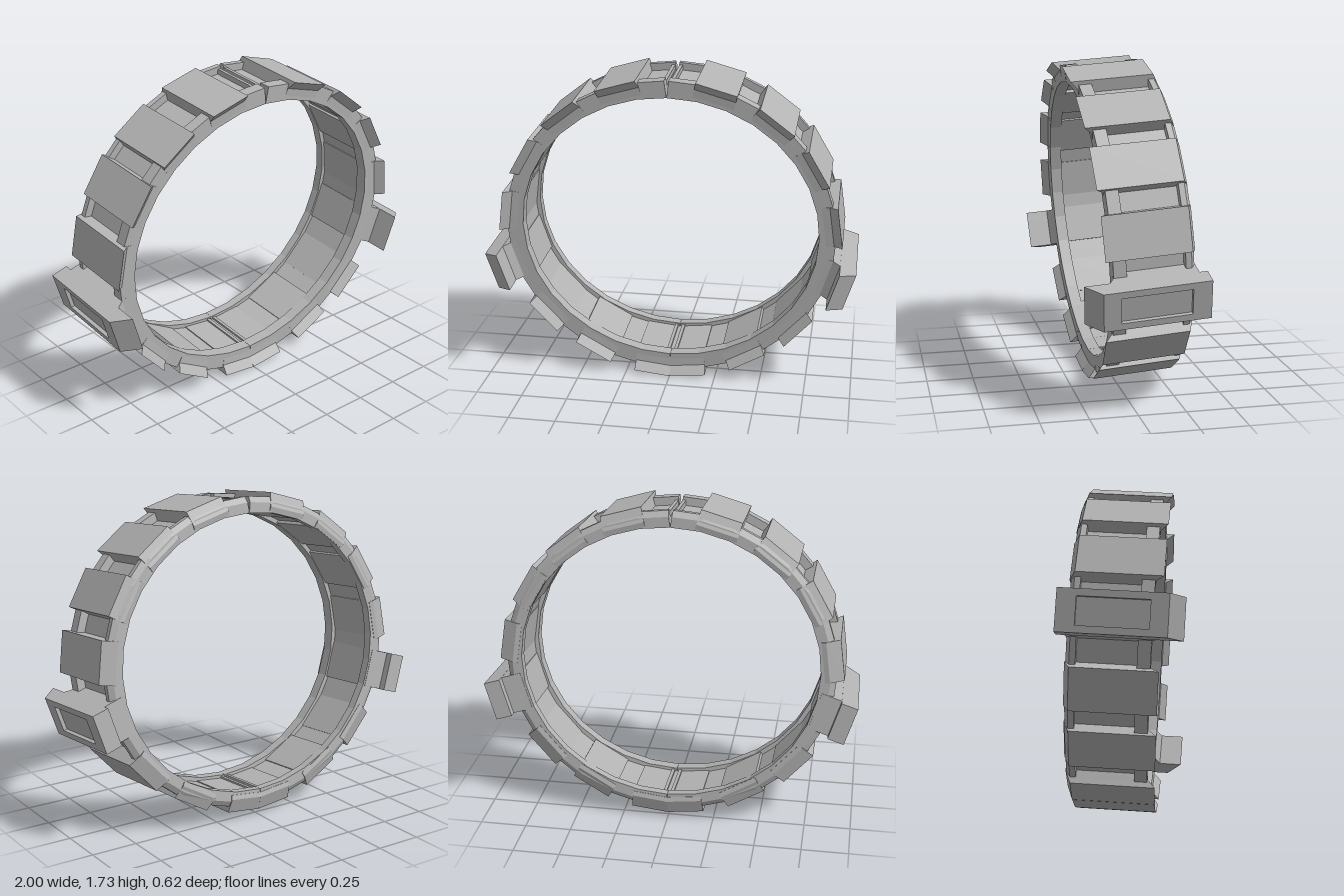
import * as THREE from 'three';

const A = 0.8, B = 0.745, CY = 0.015; // inner ellipse radii and vertical shift
const deg = Math.PI / 180;

export function createModel() {
  const grey = new THREE.MeshStandardMaterial({ color: 0xb4b4b4 });
  grey.name = 'grey';
  const model = new THREE.Group();
  model.name = 'segmentedRing';
  const ring = new THREE.Group();
  ring.name = 'tiltedRing';
  ring.position.y = 0.87;
  ring.rotation.x = 0.076;
  model.add(ring);

  const add = (geo, name) => {
    const m = new THREE.Mesh(geo, grey);
    m.name = name;
    ring.add(m);
    return m;
  };

  // Half ring: sweeps a counter-clockwise (offset, z) profile from top to bottom
  function halfRing(profile, side, name, n = 16) {
    const pos = [], idx = [], p = profile.length;
    for (let i = 0; i <= n; i++) {
      const t = (90 - 180 * i / n) * deg;
      for (const [o, z] of profile) {
        const x = Math.max((A + o) * Math.cos(t), 0.0005 + o * 0.13); // wedge gap at the joint
        pos.push(side * x, CY + (B + o) * Math.sin(t), z);
      }
    }
    const tri = (a, b, c) => (side > 0 ? idx.push(a, b, c) : idx.push(a, c, b));
    for (let i = 0; i < n; i++) for (let k = 0; k < p; k++) {
      const a = i * p + k, b = i * p + (k + 1) % p;
      tri(a, b, b + p);
      tri(a, b + p, a + p);
    }
    for (let k = 1; k < p - 1; k++) {
      tri(0, k + 1, k);
      tri(n * p, n * p + k, n * p + k + 1);
    }
    const g = new THREE.BufferGeometry();
    g.setAttribute('position', new THREE.Float32BufferAttribute(pos, 3));
    g.setIndex(idx);
    const flat = g.toNonIndexed();
    flat.computeVertexNormals();
    add(flat, name);
  }

  // Prism: (radial, z) profile extruded along the tangent
  function prism(profile, width, shift, x, y, angle, name) {
    const shape = new THREE.Shape(profile.map(([r, z]) => new THREE.Vector2(r, z)));
    const g = new THREE.ExtrudeGeometry(shape, { depth: width, bevelEnabled: false });
    g.translate(0, 0, shift - width / 2);
    const c = Math.cos(angle), s = Math.sin(angle);
    g.applyMatrix4(new THREE.Matrix4().makeBasis(
      new THREE.Vector3(c, s, 0), new THREE.Vector3(0, 0, 1), new THREE.Vector3(s, -c, 0)
    ).setPosition(x, y, 0));
    add(g, name);
  }

  const frontRail = [[0, 0.1], [0.09, 0.1], [0.09, 0.165], [0, 0.165]];
  const rearRail = [[0, -0.245], [0.055, -0.245], [0.085, -0.225], [0.085, -0.195], [0, -0.195]];
  const floor = [[0.025, -0.21], [0.045, -0.21], [0.045, 0.12], [0.025, 0.12]];

  // Plate with undercut front lip and sloped rear cap
  const plate = [[0, -0.222], [0, 0.207], [-0.045, 0.168], [-0.1, 0.164],
    [-0.1, -0.247], [-0.075, -0.252]];
  // Outer x, y, and facing angle of each plate
  const plates = [
    [0.262, 0.825, 74], [0.572, 0.665, 52.5], [0.79, 0.42, 30], [0.908, 0.1, 8],
    [0.706, -0.53, -42], [0.43, -0.73, -60], [0.1, -0.838, -83.5],
  ];

  // Side block: solid edges, notched middle, and a foot reaching the ring
  const block = [[0, -0.29], [0, 0.242], [-0.09, 0.318], [-0.09, -0.29]];
  const notched = [[0, -0.29], [0, -0.195], [-0.02, -0.195], [-0.02, 0.155], [0, 0.155],
    [0, 0.242], [-0.09, 0.318], [-0.09, -0.29]];
  const foot = [[-0.08, -0.25], [-0.08, 0.2], [-0.13, 0.166], [-0.2, 0.164], [-0.2, -0.247]];

  for (const side of [1, -1]) {
    const tag = side > 0 ? 'left' : 'right';
    halfRing(frontRail, side, tag + 'FrontRail');
    halfRing(rearRail, side, tag + 'RearRail');
    halfRing(floor, side, tag + 'Floor');

    const face = a => (side > 0 ? a * deg : Math.PI - a * deg);
    plates.forEach(([x, y, a], i) =>
      prism(plate, i === 6 ? 0.198 : 0.222, 0, side * x, y, face(a), tag + 'Plate' + (i + 1)));

    const bx = side * 0.97, by = -0.242, ba = face(-17.5);
    prism(notched, 0.14, 0, bx, by, ba, tag + 'BlockMiddle');
    for (const e of [-1, 1]) prism(block, 0.036, e * 0.088, bx, by, ba, tag + 'BlockEdge');
    prism(foot, 0.21, 0, bx, by, ba, tag + 'BlockFoot');

    // Ribs beside the top and bottom joints
    for (const v of [1, -1]) {
      const rib = add(new THREE.BoxGeometry(0.018, 0.065, 0.32), tag + 'JointRib');
      rib.position.set(side * 0.02, CY + v * 0.783, -0.05);
    }
  }
  return model;
}
